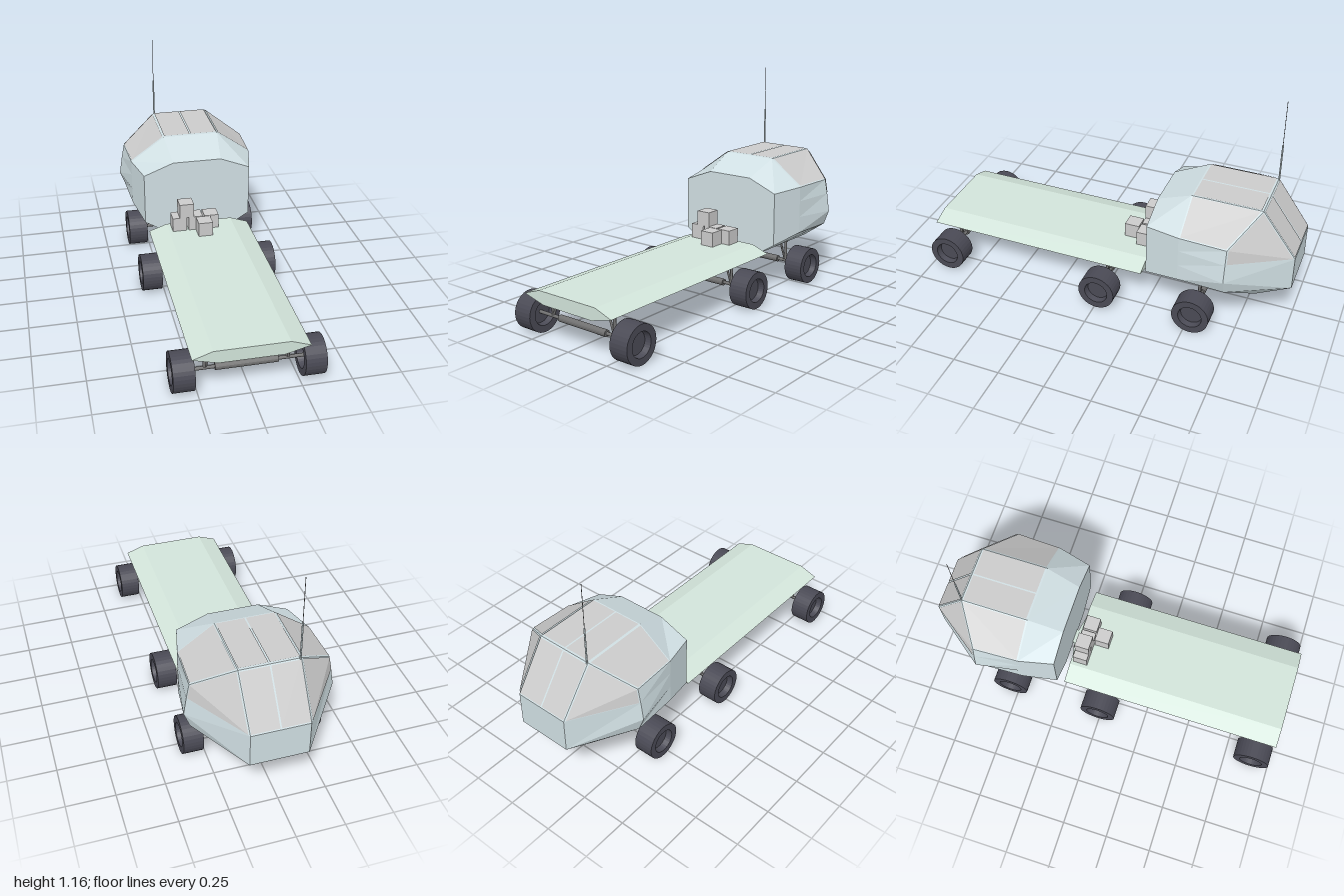
import * as THREE from 'three';

const mat = (color, extra = {}) => new THREE.MeshStandardMaterial({ color, flatShading: true, ...extra });
const shell = mat(0xd0dfe3);
const deckMat = mat(0xd2e4da);
const grey = mat(0xcccccc);
const glass = mat(0xcccccc, { side: THREE.DoubleSide });
const tyre = mat(0x4a4a55);
const metal = mat(0x707070);

function add(parent, name, geometry, material, x = 0, y = 0, z = 0) {
  const mesh = new THREE.Mesh(geometry, material);
  mesh.name = name;
  mesh.position.set(x, y, z);
  parent.add(mesh);
  return mesh;
}

function geometryFrom(tris) {
  const g = new THREE.BufferGeometry();
  g.setAttribute('position', new THREE.Float32BufferAttribute(tris.flat(), 3));
  g.computeVertexNormals();
  return g;
}

// Straight round bar between two points
function bar(parent, name, a, b, r, material) {
  const p = new THREE.Vector3(...a), q = new THREE.Vector3(...b);
  const mesh = add(parent, name, new THREE.CylinderGeometry(r, r, p.distanceTo(q), 16), material);
  mesh.position.copy(p).add(q).multiplyScalar(0.5);
  mesh.quaternion.setFromUnitVectors(new THREE.Vector3(0, 1, 0), q.sub(p).normalize());
}

// Closed skin over mirrored half sections, listed bottom to top, running toward -z
function loft(sections) {
  const rings = sections.map(s => [...s, ...s.map(([x, y, z]) => [-x, y, z]).reverse()]);
  const n = rings[0].length, tris = [];
  for (let i = 0; i < rings.length - 1; i++) {
    for (let j = 0; j < n; j++) {
      const k = (j + 1) % n;
      const a = rings[i][j], b = rings[i][k], c = rings[i + 1][k], d = rings[i + 1][j];
      tris.push(a, d, c, a, c, b);
    }
  }
  const first = rings[0], last = rings[rings.length - 1];
  for (let j = 1; j < n - 1; j++) {
    tris.push(first[0], first[j], first[j + 1]);
    tris.push(last[0], last[j + 1], last[j]);
  }
  return geometryFrom(tris);
}

// Cabin half sections: bottom, lower, wide, belt, upper, top
const rear = [[0.155, 0.18], [0.3, 0.27], [0.3, 0.4], [0.3, 0.49], [0.3, 0.56], [0.135, 0.625]].map(p => [...p, -0.265]);
const mid = [[0.155, 0.18], [0.345, 0.31], [0.345, 0.4], [0.345, 0.49], [0.345, 0.57], [0.155, 0.705]].map(p => [...p, -0.45]);
const front = [[0.155, 0.18, -0.82], [0.355, 0.31, -0.7], [0.385, 0.39, -0.7], [0.37, 0.49, -0.7], [0.355, 0.57, -0.7], [0.155, 0.705, -0.82]];
const nose = [0.27, 0.27, 0.27, 0.455, 0.455, 0.455].map(y => [0.15, y, -1]);

// Thin pane set just outside the shell, slightly smaller than its facet
function pane(parent, name, corners, side) {
  const pts = corners.map(([x, y, z]) => new THREE.Vector3(x * side, y, z));
  const centre = pts.reduce((s, p) => s.add(p), new THREE.Vector3()).multiplyScalar(0.25);
  const normal = pts[2].clone().sub(pts[0]).cross(pts[3].clone().sub(pts[1])).normalize();
  if (normal.dot(centre.clone().sub(new THREE.Vector3(0, 0.42, -0.6))) < 0) {
    normal.negate();
  }
  const [a, b, c, d] = pts.map(p => p.lerp(centre, 0.05).addScaledVector(normal, 0.004).toArray());
  const tris = side > 0 ? [a, b, c, a, c, d] : [a, c, b, a, d, c];
  add(parent, name, geometryFrom(tris), glass);
}

function cabin() {
  const g = new THREE.Group();
  g.name = 'cabin';
  add(g, 'cabinShell', loft([rear, mid, front, nose]), shell);
  const middle = ([, y, z]) => [0, y, z];
  for (const s of [1, -1]) {
    pane(g, 'roofWindow', [mid[5], front[5], middle(front[5]), middle(mid[5])], s);
    pane(g, 'sideRoofWindow', [mid[4], front[4], front[5], mid[5]], s);
    pane(g, 'windshield', [front[5], nose[5], middle(nose[5]), middle(front[5])], s);
    pane(g, 'sideWindshield', [nose[5], front[3], front[4], front[5]], s);
  }
  // Two-stage antenna
  bar(g, 'antennaBase', [-0.15, 0.7, -0.822], [-0.15, 0.91, -0.822], 0.0045, shell);
  bar(g, 'antennaWhip', [-0.15, 0.91, -0.822], [-0.15, 1.16, -0.822], 0.0015, metal);
  return g;
}

function cargoBed() {
  const g = new THREE.Group();
  g.name = 'cargoBed';
  const section = [[0.16, 0.197], [0.285, 0.23], [0.185, 0.265]];
  add(g, 'deck', loft([1, -0.23].map(z => section.map(p => [...p, z]))), deckMat);
  // Tapered coupling to the cabin
  add(g, 'hitch', loft([
    [[0.17, 0.197, -0.225], [0.17, 0.225, -0.225]],
    [[0.04, 0.188, -0.255], [0.04, 0.21, -0.255]],
    [[0.035, 0.185, -0.29], [0.035, 0.205, -0.29]],
  ]), deckMat);
  // Stacked crates: x, y, z
  const crates = [[-0.125, 0.305, -0.175], [-0.035, 0.305, -0.175], [0.055, 0.305, -0.175],
    [0.005, 0.305, -0.09], [-0.085, 0.385, -0.175]];
  for (const p of crates) {
    add(g, 'crate', new THREE.BoxGeometry(0.08, 0.08, 0.08), grey, ...p);
  }
  return g;
}

// Wheel with a recessed hub on both faces
const wheelProfile = [[0, -0.02], [0.058, -0.02], [0.064, -0.053], [0.1, -0.053],
  [0.1, 0.053], [0.064, 0.053], [0.058, 0.02], [0, 0.02]].map(p => new THREE.Vector2(...p));
const wheelGeometry = new THREE.LatheGeometry(wheelProfile, 32).rotateZ(-Math.PI / 2);

function axle(z) {
  const g = new THREE.Group();
  g.name = 'axle';
  g.position.z = z;
  bar(g, 'axleShaft', [-0.33, 0.1, 0], [0.33, 0.1, 0], 0.009, metal);
  bar(g, 'axleSleeve', [-0.155, 0.1, 0], [0.155, 0.1, 0], 0.018, metal);
  for (const s of [1, -1]) {
    add(g, 'wheel', wheelGeometry, tyre, s * 0.318, 0.1, 0);
    bar(g, 'strut', [s * 0.205, 0.1, 0], [s * 0.205, 0.215, 0], 0.008, metal);
    bar(g, 'brace', [s * 0.2, 0.105, 0], [s * 0.17, 0.2, 0], 0.006, metal);
  }
  return g;
}

export function createModel() {
  const model = new THREE.Group();
  model.name = 'rover';
  model.add(cabin(), cargoBed(), ...[0.895, -0.01, -0.535].map(axle));
  return model;
}
